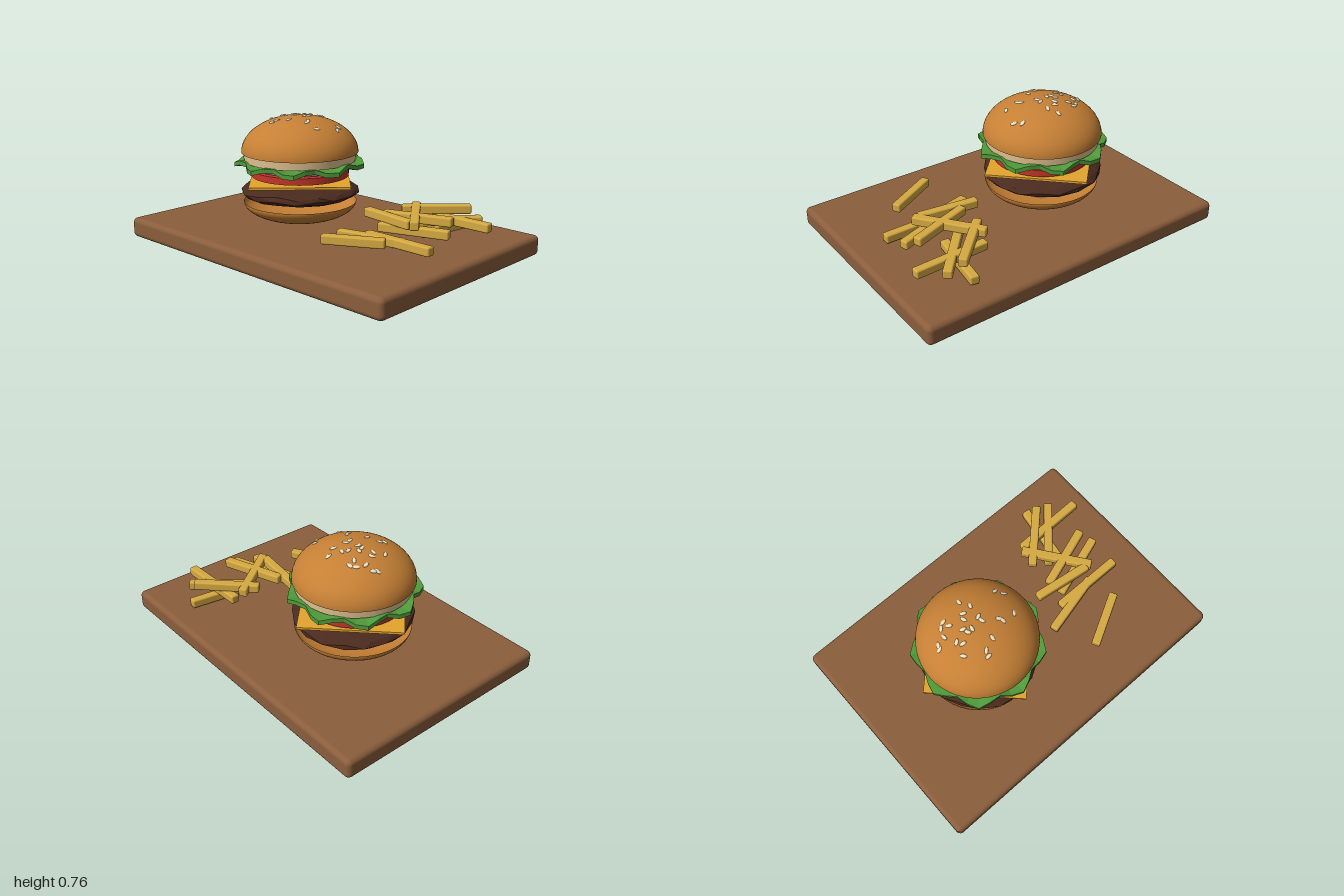
import * as THREE from 'three';
import { RoundedBoxGeometry } from 'three/addons/geometries/RoundedBoxGeometry.js';

const BURGER_X = -0.24;

function mat(color, extra = {}) {
  const m = new THREE.MeshStandardMaterial(extra);
  m.color.set(color);
  return m;
}

function add(parent, name, geometry, material, x = 0, y = 0, z = 0) {
  const mesh = new THREE.Mesh(geometry, material);
  mesh.name = name;
  mesh.position.set(x, y, z);
  parent.add(mesh);
  return mesh;
}

// Apply a rule to every vertex, then rebuild the normals
function deform(geometry, rule) {
  const p = geometry.attributes.position;
  const v = new THREE.Vector3();
  for (let i = 0; i < p.count; i++) {
    rule(v.fromBufferAttribute(p, i));
    p.setXYZ(i, v.x, v.y, v.z);
  }
  geometry.computeVertexNormals();
  return geometry;
}

// Disc whose rim ruffles in and out, up and down
function lettuceGeometry() {
  return deform(new THREE.CylinderGeometry(0.37, 0.37, 0.026, 36, 1), (v) => {
    const r = Math.hypot(v.x, v.z);
    if (r < 0.01) return;
    const a = Math.atan2(-v.z, v.x);
    const k = 1 + 0.06 * Math.cos(9 * (a - Math.PI / 6));
    v.x *= k;
    v.z *= k;
    v.y += 0.015 * Math.sin(9 * a + 0.8) + 0.003 * Math.sin(2 * a);
  });
}

// Lumpy flattened ball
function pattyGeometry() {
  return deform(new THREE.IcosahedronGeometry(1, 2), (v) => {
    const bump = 1 + 0.025 * Math.sin(7 * v.x + 3 * v.z) * Math.cos(6 * v.z - 4 * v.y);
    v.set(v.x * 0.352 * bump, v.y * 0.067 * bump, v.z * 0.357 * bump);
  });
}

function createBurger() {
  const burger = new THREE.Group();
  burger.name = 'burger';
  burger.position.x = BURGER_X;
  const bun = mat(0xc68035, { side: THREE.DoubleSide });

  // Bottom bun: an open shallow bowl
  const bowl = new THREE.SphereGeometry(1, 48, 16, 0, Math.PI * 2, Math.PI / 2, Math.PI / 2);
  bowl.scale(0.34, 0.122, 0.34);
  add(burger, 'bottomBun', bowl, bun, 0, 0.239, 0);

  add(burger, 'patty', pattyGeometry(), mat(0x4a2a1e, { flatShading: true }), 0, 0.303, 0);

  // Four-sided cylinder puts the cheese corners on the axes
  add(burger, 'cheese', new THREE.CylinderGeometry(0.415, 0.415, 0.014, 4),
    mat(0xe5a52e, { flatShading: true }), 0, 0.376, 0);

  add(burger, 'tomato', new THREE.CylinderGeometry(0.293, 0.293, 0.04, 40), mat(0xc4362a), 0, 0.415, 0);
  add(burger, 'onion', new THREE.CylinderGeometry(0.265, 0.265, 0.018, 40), mat(0xb8619a), 0, 0.448, 0);
  add(burger, 'lettuce', lettuceGeometry(),
    mat(0x4f9a3a, { flatShading: true, side: THREE.DoubleSide }), 0, 0.474, 0);
  add(burger, 'bunCrumb', new THREE.CylinderGeometry(0.34, 0.335, 0.05, 48), mat(0xe6c895), 0, 0.515, 0);

  // Top bun dome
  const dome = new THREE.SphereGeometry(1, 48, 20, 0, Math.PI * 2, 0, Math.PI / 2);
  dome.scale(0.35, 0.217, 0.35);
  add(burger, 'topBun', dome, bun, 0, 0.538, 0);

  burger.add(createSeeds());
  return burger;
}

// Sesame seeds lying on the dome: x, z pairs
function createSeeds() {
  const seeds = new THREE.Group();
  seeds.name = 'seeds';
  const spots = [
    -0.22, -0.17, -0.39, -0.12, -0.36, -0.14, -0.35, -0.10, -0.41, -0.07, -0.46, -0.06,
    -0.47, -0.04, -0.25, -0.10, -0.27, -0.07, -0.19, -0.11, -0.20, -0.03, -0.31, -0.03,
    -0.30, 0.00, -0.27, 0.00, -0.38, 0.00, -0.36, 0.03, -0.40, 0.08, -0.22, 0.11,
    -0.29, 0.14, -0.30, 0.17, -0.12, 0.05, -0.11, 0.07, -0.03, 0.07, -0.02, -0.10,
    0.01, -0.06, -0.20, 0.00,
  ];
  const geometry = new THREE.SphereGeometry(1, 10, 8).scale(0.011, 0.007, 0.021);
  const material = mat(0xeee0c0);
  const up = new THREE.Vector3(0, 1, 0);
  for (let i = 0; i < spots.length; i += 2) {
    const x = spots[i] - BURGER_X, z = spots[i + 1];
    const h = 0.217 * Math.sqrt(1 - (x * x + z * z) / 0.1225);
    const seed = add(seeds, 'seed', geometry, material, x, 0.538 + h, z);
    const normal = new THREE.Vector3(x / 0.1225, h / 0.0471, z / 0.1225).normalize();
    seed.quaternion.setFromUnitVectors(up, normal);
    seed.rotateY(i * 1.2);
  }
  return seeds;
}

// Fries stacked in three layers: layer, then x, z of both ends
function createFries() {
  const fries = new THREE.Group();
  fries.name = 'fries';
  const material = mat(0xd6aa42);
  const layout = [
    [0, 0.22, 0.155, 0.61, 0.06],
    [0, 0.355, 0.07, 0.805, 0.07],
    [0, 0.62, -0.55, 0.56, -0.16],
    [1, 0.33, 0.405, 0.635, 0.24],
    [1, 0.42, -0.36, 0.875, -0.37],
    [1, 0.47, -0.17, 0.745, -0.48],
    [1, 0.40, 0.02, 0.79, -0.11],
    [2, 0.26, -0.04, 0.62, 0.01],
    [2, 0.39, -0.33, 0.65, 0.02],
    [2, 0.375, -0.215, 0.66, -0.495],
    [2, 0.37, -0.06, 0.75, -0.19],
  ];
  for (const [layer, x1, z1, x2, z2] of layout) {
    const length = Math.hypot(x2 - x1, z2 - z1);
    const fry = add(fries, 'fry', new RoundedBoxGeometry(length, 0.053, 0.053, 2, 0.01), material,
      (x1 + x2) / 2, 0.156 + layer * 0.048, (z1 + z2) / 2);
    fry.rotation.y = Math.atan2(z1 - z2, x2 - x1);
  }
  return fries;
}

export function createModel() {
  const model = new THREE.Group();
  model.name = 'burgerAndFries';
  add(model, 'board', new RoundedBoxGeometry(2, 0.12, 1.4, 4, 0.03), mat(0x8b5e3c), 0, 0.06, 0);
  model.add(createBurger(), createFries());
  return model;
}
